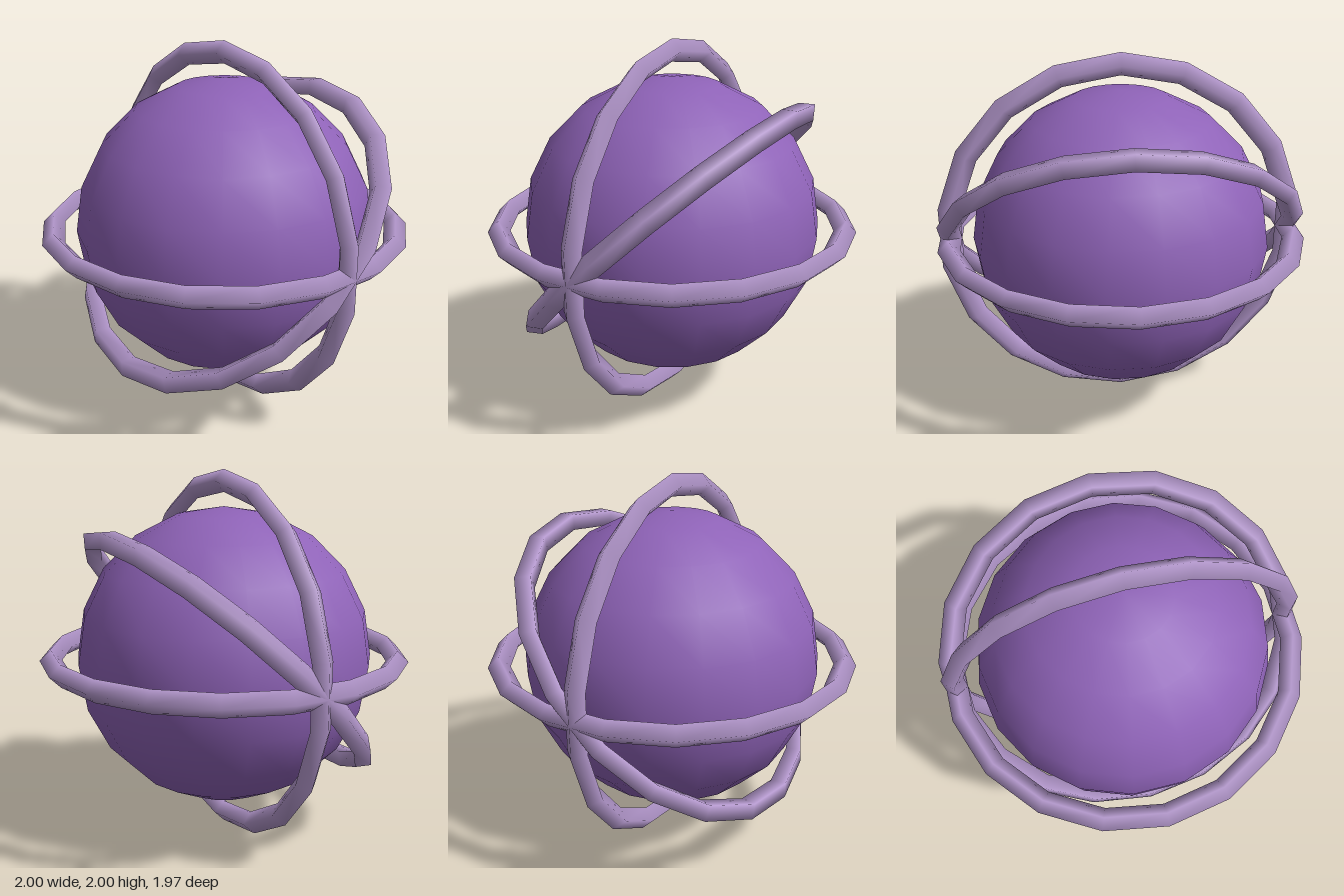
import * as THREE from 'three';

export function createModel() {
  const model = new THREE.Group();
  const coreMaterial = new THREE.MeshStandardMaterial({ color: 0x8f63b8 });
  const ringMaterial = new THREE.MeshStandardMaterial({ color: 0xb397cc });

  // Low-poly smooth ball, with mesh columns on the front and back centre lines
  const coreGeometry = new THREE.SphereGeometry(0.806, 18, 10);
  coreGeometry.rotateY(Math.PI / 2);
  const core = new THREE.Mesh(coreGeometry, coreMaterial);
  core.name = 'core';
  core.position.y = 1;
  model.add(core);

  // Three square-section rings, crossing at the front and back
  const ringGeometry = new THREE.TorusGeometry(0.94, 0.06, 4, 18);
  ringGeometry.rotateX(Math.PI / 2);
  const tilts = { horizontalRing: 0, diagonalRing: Math.PI / 4, verticalRing: Math.PI / 2 };
  for (const [name, tilt] of Object.entries(tilts)) {
    const ring = new THREE.Mesh(ringGeometry, ringMaterial);
    ring.name = name;
    ring.position.y = 1;
    ring.rotation.z = tilt;
    model.add(ring);
  }

  return model;
}
